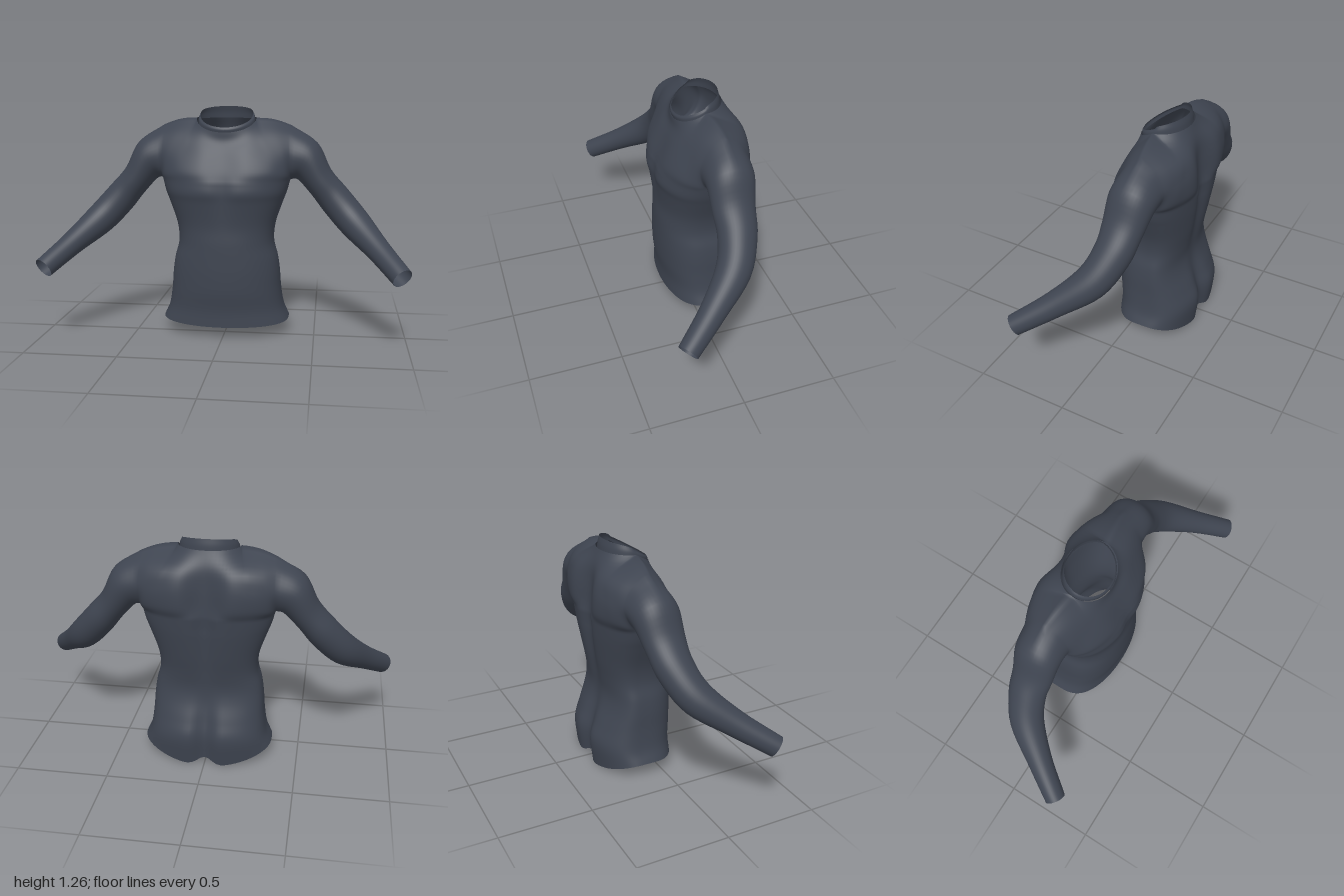
import * as THREE from 'three';

const HALF = 24;   // columns from centre line to side
const SUB = 5;     // steps between control rows
const SIDE_Z = -0.1;
const V = (x, y, z) => new THREE.Vector3(x, y, z);
const columns = Array.from({ length: 2 * HALF + 1 }, (_, i) => i / HALF - 1);

// Smooth surface through control rows of equal length
function loft(rows) {
  const curves = rows[0].map((_, c) => new THREE.CatmullRomCurve3(rows.map(r => r[c]), false, 'catmullrom', 0.5));
  const n = (rows.length - 1) * SUB;
  return Array.from({ length: n + 1 }, (_, j) => curves.map(k => k.getPoint(j / n)));
}

function grid(rows, flip) {
  const w = rows[0].length, pos = [], idx = [];
  rows.forEach(r => r.forEach(p => pos.push(p.x, p.y, p.z)));
  for (let j = 0; j < rows.length - 1; j++) for (let i = 0; i < w - 1; i++) {
    const a = j * w + i, b = a + 1, c = a + w, d = c + 1;
    if (flip) idx.push(a, c, b, b, c, d);
    else idx.push(a, b, c, b, d, c);
  }
  const g = new THREE.BufferGeometry();
  g.setAttribute('position', new THREE.Float32BufferAttribute(pos, 3));
  g.setIndex(idx);
  g.computeVertexNormals();
  return g;
}

// Share normals where panels meet, so the cloth looks continuous
function weldNormals(geos) {
  const sums = new Map();
  const visit = fn => geos.forEach(g => {
    const p = g.attributes.position, n = g.attributes.normal;
    for (let i = 0; i < p.count; i++) {
      fn([p.getX(i), p.getY(i), p.getZ(i)].map(v => Math.round(v * 1e4)).join(), n, i);
    }
  });
  visit((k, n, i) => {
    if (!sums.has(k)) sums.set(k, V(0, 0, 0));
    sums.get(k).add(V(n.getX(i), n.getY(i), n.getZ(i)));
  });
  visit((k, n, i) => {
    const s = sums.get(k).clone().normalize();
    n.setXYZ(i, s.x, s.y, s.z);
  });
}

// Torso outline: height, half width, front z, back z, spine groove, chest groove
const BODY = [
  [0.08, 0.355, 0.13, -0.312, 0.14, 0],
  [0.15, 0.324, 0.13, -0.33, 0.19, 0],
  [0.25, 0.308, 0.142, -0.298, 0.17, 0],
  [0.35, 0.300, 0.146, -0.257, 0.1, 0],
  [0.43, 0.288, 0.146, -0.242, 0.05, 0],
  [0.52, 0.266, 0.145, -0.254, 0.08, 0],
  [0.62, 0.275, 0.141, -0.274, 0.12, 0],
  [0.74, 0.315, 0.155, -0.293, 0.15, 0.03],
  [0.80, 0.337, 0.167, -0.3, 0.17, 0.06],
  [0.86, 0.353, 0.158, -0.306, 0.17, 0.05],
];

function bodyRow([y, w, zf, zb, spine, chest], index, front) {
  return columns.map(u => {
    const c = Math.max(0, Math.cos(u * Math.PI / 2)), x = w * Math.sin(u * Math.PI / 2);
    const dip = Math.exp(-((x / 0.055) ** 2));
    const z = SIDE_Z + ((front ? zf : zb) - SIDE_Z) * (c < 1e-6 ? 0 : c ** 0.68) * (1 - (front ? chest : spine) * dip);
    // The hem drops in two lobes at the back
    const drop = index > 0 ? 0 : front ? 0.02 * c : 0.09 * c * c - 0.04 * dip;
    return V(x, y - drop, z);
  });
}

// Shoulder yoke: points from the centre line to the armhole
const YOKE_FRONT = [
  [[0, 0.92, 0.125], [0.13, 0.92, 0.13], [0.25, 0.92, 0.1], [0.325, 0.91, 0.05], [0.358, 0.9, -0.01]],
  [[0, 1.01, 0.085], [0.12, 1.02, 0.083], [0.23, 1.02, 0.058], [0.31, 1.01, 0.035], [0.355, 1, 0.015]],
  [[0, 1.075, 0.055], [0.12, 1.09, 0.042], [0.2, 1.11, 0.01], [0.28, 1.11, -0.01], [0.355, 1.1, -0.03]],
];
const YOKE_BACK = [
  [[0, 0.92, -0.268], [0.13, 0.92, -0.31], [0.25, 0.92, -0.287], [0.325, 0.91, -0.25], [0.36, 0.9, -0.195]],
  [[0, 1.02, -0.262], [0.13, 1.03, -0.303], [0.24, 1.02, -0.287], [0.31, 1.01, -0.265], [0.36, 1, -0.243]],
  [[0, 1.12, -0.25], [0.12, 1.12, -0.266], [0.21, 1.12, -0.248], [0.29, 1.11, -0.228], [0.357, 1.1, -0.2]],
];

function yokeRow(points) {
  const right = points.slice(1).reverse().map(([x, y, z]) => V(-x, y, z));
  const curve = new THREE.CatmullRomCurve3([...right, ...points.map(p => V(...p))], false, 'catmullrom', 0.5);
  return columns.map(u => curve.getPoint((u + 1) / 2));
}

// Neckline in the middle, shoulder seam at both ends
function seamRow(zMid, yMid) {
  return columns.map(u => {
    const t = Math.abs(u), s = Math.sign(u);
    if (t <= 0.5) {
      const a = t * Math.PI, c = Math.cos(a);
      return V(s * 0.165 * Math.sin(a), 1.2 + (yMid - 1.2) * c, -0.08 + (zMid + 0.08) * c);
    }
    const k = t * 2 - 1;
    return V(s * (0.165 + 0.19 * k), 1.2 - 0.04 * k + 0.012 * Math.sin(k * Math.PI), -0.08 - 0.03 * k);
  });
}

// Sleeve rings: centre x, y, z, tilt in degrees, half height, half depth
const SLEEVE = [
  [0.448, 0.962, -0.11, 27, 0.115, 0.123],
  [0.525, 0.848, -0.1, 36, 0.088, 0.11],
  [0.608, 0.748, -0.088, 40, 0.09, 0.1],
  [0.715, 0.63, -0.028, 42, 0.086, 0.09],
  [0.835, 0.515, 0.12, 43, 0.065, 0.067],
  [0.95, 0.405, 0.285, 45, 0.056, 0.055],
];

function sleeveRows(armhole) {
  const centres = [V(0.355, 1, -0.11), ...SLEEVE.map(r => V(r[0], r[1], r[2]))];
  const n = armhole.length - 1;
  const rings = SLEEVE.map(([, , , tilt, ra, rb], k) => {
    const axis = centres[Math.min(k + 2, SLEEVE.length)].clone().sub(centres[k]).normalize();
    const a = THREE.MathUtils.degToRad(tilt);
    const up = V(Math.sin(a), Math.cos(a), 0);
    const fwd = axis.clone().cross(up).normalize();
    return armhole.map((_, i) => {
      const s = 2 * Math.PI * i / n;
      return centres[k + 1].clone().addScaledVector(up, -ra * Math.cos(s)).addScaledVector(fwd, rb * Math.sin(s));
    });
  });
  return loft([armhole, ...rings]);
}

// Collar ring: half width, front/back z, front/side/back height
function collarRing([rx, zf, zb, yf, ys, yb]) {
  return Array.from({ length: 65 }, (_, i) => {
    const a = 2 * Math.PI * i / 64, c = Math.cos(a), front = c > 0;
    const k = front ? c : Math.sqrt(-c);
    return V(rx * Math.sin(a), ys + ((front ? yf : yb) - ys) * k, -0.08 + ((front ? zf : zb) + 0.08) * Math.abs(c));
  });
}

export function createModel() {
  const group = new THREE.Group();
  group.name = 'longSleeveShirt';
  const cloth = new THREE.MeshStandardMaterial({ color: 0x3e4450, side: THREE.DoubleSide });
  cloth.name = 'slate cloth';

  // Torso and yoke panels
  const body = front => loft(BODY.map((r, i) => bodyRow(r, i, front)));
  const yoke = front => loft([
    bodyRow(BODY[9], 9, front),
    ...(front ? YOKE_FRONT : YOKE_BACK).map(yokeRow),
    front ? seamRow(0.05, 1.125) : seamRow(-0.212, 1.205),
  ]);
  const yokeFront = yoke(true), yokeBack = yoke(false);

  // Armhole runs from the armpit up the front and down the back
  const edge = rows => rows.map(r => r[r.length - 1]);
  const armhole = [...edge(yokeFront), ...edge(yokeBack).reverse().slice(1)];
  const sleeve = sleeveRows(armhole);
  const mirrored = sleeve.map(r => r.map(p => V(-p.x, p.y, p.z)));

  const parts = {
    frontBody: grid(body(true), false),
    backBody: grid(body(false), true),
    frontYoke: grid(yokeFront, false),
    backYoke: grid(yokeBack, true),
    leftSleeve: grid(sleeve, true),
    rightSleeve: grid(mirrored, false),
  };
  weldNormals(Object.values(parts));

  // Standing collar, tucked just inside the neckline
  parts.collar = grid(loft([
    [0.158, 0.042, -0.204, 1.118, 1.19, 1.195],
    [0.154, 0.046, -0.2, 1.138, 1.207, 1.228],
    [0.145, 0.04, -0.192, 1.152, 1.217, 1.26],
  ].map(collarRing)), false);

  for (const [name, geometry] of Object.entries(parts)) {
    const mesh = new THREE.Mesh(geometry, cloth);
    mesh.name = name;
    group.add(mesh);
  }
  return group;
}
